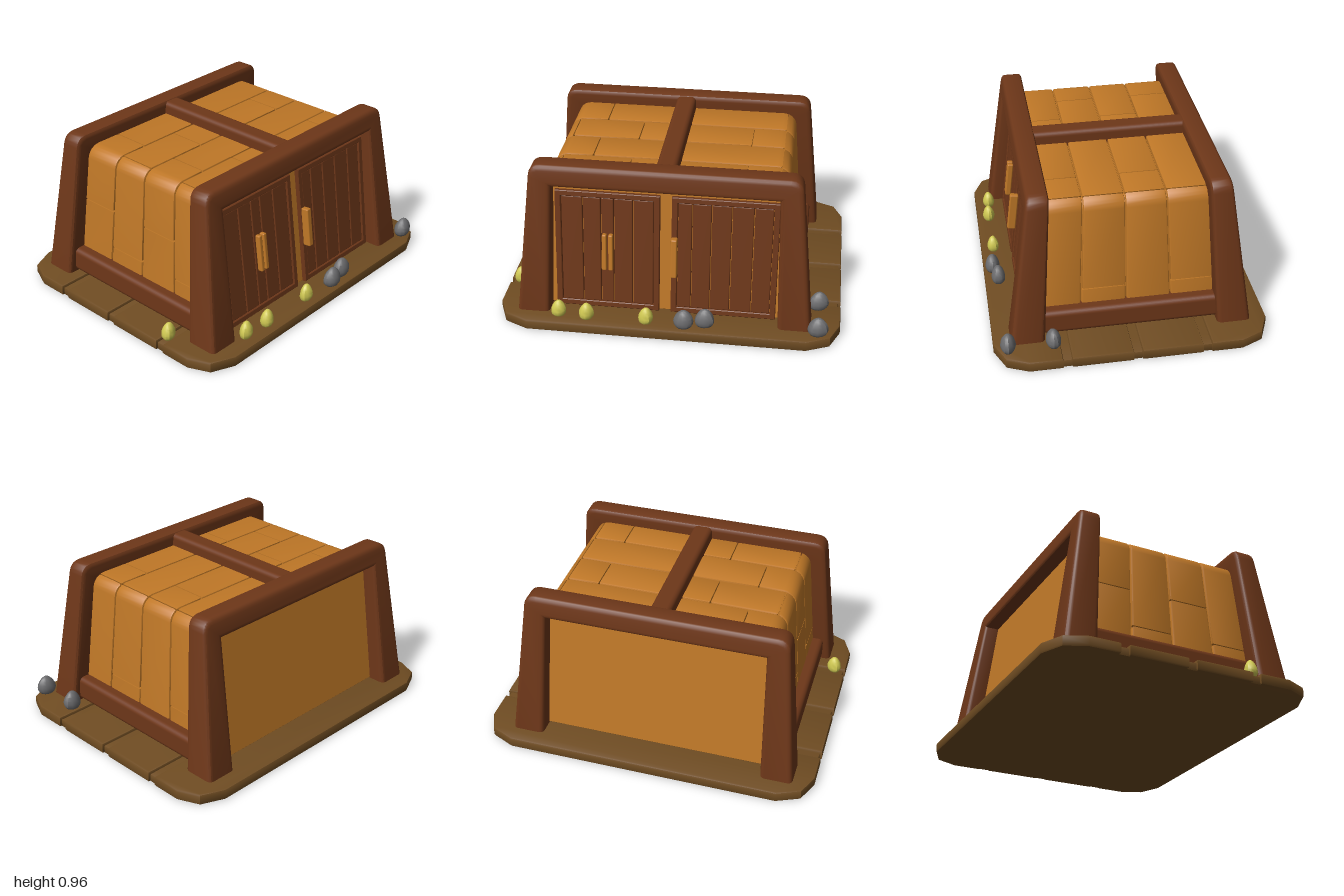
import * as THREE from 'three';
import { toCreasedNormals } from 'three/addons/utils/BufferGeometryUtils.js';
import { RoundedBoxGeometry } from 'three/addons/geometries/RoundedBoxGeometry.js';

const paint = (color) => new THREE.MeshStandardMaterial({ color });
const DARK = paint(0x6e3719), WOOD = paint(0xc07827), GROUND = paint(0x6f4c22);
const YELLOW = paint(0xcfc852), GREY = paint(0x6c6c6e);

const CX = -0.025; // the building stands slightly off the centre of its base

function add(parent, name, geo, mat, x = 0, y = 0, z = 0) {
  const mesh = new THREE.Mesh(geo, mat);
  mesh.name = name;
  mesh.position.set(x, y, z);
  parent.add(mesh);
  return mesh;
}

const polygon = (pts) => new THREE.Shape(pts.map(([x, y]) => new THREE.Vector2(x, y)));

// Extrusion whose outline and depth include the bevel, centred on z = 0
function extrude(shape, depth, bevel, segments = 2) {
  const geo = new THREE.ExtrudeGeometry(shape, {
    depth: depth - 2 * bevel, bevelSize: bevel, bevelThickness: bevel,
    bevelOffset: -bevel, bevelSegments: segments, curveSegments: 5,
  });
  return geo.translate(0, 0, bevel - depth / 2);
}

// Moves each vertex by a rule, then smooths all but the sharp edges
function warp(geo, rule) {
  const p = geo.attributes.position, v = new THREE.Vector3();
  for (let i = 0; i < p.count; i++) {
    rule(v.fromBufferAttribute(p, i));
    p.setXYZ(i, v.x, v.y, v.z);
  }
  return toCreasedNormals(geo, 0.6);
}

// Ground slab: chamfered outline cut into planks by grooves across it
const RIM = [[-0.795, 0.81], [-0.735, 0.945], [-0.61, 1], [0.61, 1], [0.735, 0.945], [0.795, 0.81]];
function halfWidth(z) {
  const i = Math.max(1, RIM.findIndex((r) => r[0] >= z - 1e-6));
  const [z0, w0] = RIM[i - 1], [z1, w1] = RIM[i];
  return w0 + (w1 - w0) * (z - z0) / (z1 - z0);
}
function slab(z0, z1, height, bevel, scale = 1) {
  const zs = [z0, ...RIM.map((r) => r[0]).filter((z) => z > z0 && z < z1), z1];
  const right = zs.map((z) => [halfWidth(z) * scale, -z * scale]);
  const left = right.map(([x, y]) => [-x, y]).reverse();
  const geo = extrude(polygon([...right, ...left]), height, bevel).rotateX(-Math.PI / 2);
  return toCreasedNormals(geo.translate(0, height / 2, 0), 0.6);
}
function buildBase() {
  const base = new THREE.Group();
  base.name = 'base';
  add(base, 'baseCore', slab(-0.795, 0.795, 0.047, 0.004, 0.985), GROUND);
  const cuts = [-0.795, -0.43, -0.38, -0.03, 0.02, 0.37, 0.42, 0.795];
  for (let i = 0; i < cuts.length; i += 2)
    add(base, 'basePlank', slab(cuts[i], cuts[i + 1], 0.065, 0.012), GROUND);
  return base;
}

// Leaning portal frame, thick at the foot and slimmer at the top
function frameGeometry() {
  const s = new THREE.Shape();
  s.moveTo(-0.86, 0.03);
  s.lineTo(-0.772, 0.9);
  s.quadraticCurveTo(-0.765, 0.965, -0.7, 0.965);
  s.lineTo(0.7, 0.965);
  s.quadraticCurveTo(0.765, 0.965, 0.772, 0.9);
  s.lineTo(0.86, 0.03);
  s.lineTo(0.667, 0.03);
  s.lineTo(0.645, 0.84);
  s.lineTo(-0.645, 0.84);
  s.lineTo(-0.667, 0.03);
  return warp(extrude(s, 0.19, 0.028, 3), (v) => {
    const t = (v.y - 0.07) / 0.895, k = v.z / 0.19 + 0.5;
    v.z = THREE.MathUtils.lerp(0.5 - 0.06 * t, 0.695 - 0.13 * t, k);
  });
}

// Plank door with a raised border; x0..x1 across, y from 0 to h
function buildDoor(x0, x1, h, seams) {
  const door = new THREE.Group();
  door.name = 'door';
  const m = 0.034;
  const border = polygon([[x0, 0], [x1, 0], [x1, h], [x0, h]]);
  border.holes.push(polygon([[x0 + m, m], [x0 + m, h - m], [x1 - m, h - m], [x1 - m, m]]));
  add(door, 'doorBorder', toCreasedNormals(extrude(border, 0.03, 0.004, 1), 0.6), DARK);
  const xs = [x0 + m, ...seams, x1 - m];
  for (let i = 0; i + 1 < xs.length; i++) {
    const w = xs[i + 1] - xs[i] - 0.004;
    add(door, 'doorPlank', new RoundedBoxGeometry(w, h - 2 * m, 0.024, 2, 0.006), DARK,
      (xs[i] + xs[i + 1]) / 2, h / 2, -0.004);
  }
  return door;
}

// One end of the building: frame plus leaning wall, with doors on the front
function buildEnd(name, withDoors) {
  const end = new THREE.Group();
  end.name = name;
  add(end, 'portalFrame', frameGeometry(), DARK);
  const wall = new THREE.Group();
  wall.name = 'endWall';
  wall.position.set(0, 0.068, 0.575);
  wall.rotation.x = -0.125;
  end.add(wall);
  const panel = polygon([[-0.7, 0], [0.7, 0], [0.67, 0.82], [-0.67, 0.82]]);
  add(wall, 'wallPanel', extrude(panel, 0.03, 0.003, 1), WOOD);
  if (withDoors) {
    const left = buildDoor(-0.635, -0.03, 0.727, [-0.475, -0.37, -0.295, -0.185]);
    const right = buildDoor(0.038, 0.648, 0.727, [0.155, 0.265, 0.38, 0.505]);
    for (const door of [left, right]) {
      door.position.z = 0.026;
      wall.add(door);
    }
    for (const x of [-0.347, -0.31])
      add(wall, 'doorHandle', new RoundedBoxGeometry(0.027, 0.225, 0.035, 2, 0.008), WOOD, x, 0.365, 0.052);
    add(wall, 'doorHandle', new RoundedBoxGeometry(0.036, 0.24, 0.05, 2, 0.008), WOOD, 0.058, 0.365, 0.065);
  }
  return end;
}

// Arched shell section; s is the distance along it from the roof centre
const FLAT = 0.61, R = 0.08, TURN = 1.49, BEND = R * TURN, END = 1.39;
function archPoint(s, inset) {
  const a = Math.abs(s), t = THREE.MathUtils.clamp((a - FLAT) / R, 0, TURN);
  const run = Math.max(0, a - FLAT - BEND), r = R - inset;
  const x = Math.min(a, FLAT) + r * Math.sin(t) + run * Math.cos(t);
  return [Math.sign(s) * x, 0.885 - R + r * Math.cos(t) - run * Math.sin(t)];
}
function archBlock(s0, s1, z0, z1, inset, thick, bevel) {
  const bends = [];
  for (let i = 0; i <= 6; i++) bends.push(FLAT + BEND * i / 6, -FLAT - BEND * i / 6);
  const inner = bends.filter((s) => s > s0 + 0.015 && s < s1 - 0.015).sort((a, b) => a - b);
  const ss = [s0, ...inner, s1];
  const outline = [...ss.map((s) => archPoint(s, inset)),
    ...ss.map((s) => archPoint(s, inset + thick)).reverse()];
  const geo = extrude(polygon(outline), z1 - z0, bevel).translate(0, 0, (z0 + z1) / 2);
  return warp(geo, (v) => { v.z *= 1 + 0.15 * (1 - v.y / 0.885); });
}

// Four rows of blocks running over the roof and down both sides
function buildShell() {
  const shell = new THREE.Group();
  shell.name = 'shell';
  add(shell, 'shellLining', archBlock(-END, END, -0.45, 0.45, 0.022, 0.02, 0.002), WOOD);
  const longRow = [-END, -1.0, -0.46, -0.03, 0.64, 1.23, END];
  const shortRow = [-END, -1.23, -0.63, -0.23, 0.445, 0.64, END];
  const edges = [-0.455, -0.217, 0.015, 0.25, 0.455];
  for (let row = 0; row < 4; row++) {
    const seams = row % 2 ? shortRow : longRow;
    for (let i = 0; i + 1 < seams.length; i++)
      add(shell, 'shellBlock', archBlock(seams[i] + 0.003, seams[i + 1] - 0.003,
        edges[row] + 0.003, edges[row + 1] - 0.003, 0, 0.04, 0.01), WOOD);
  }
  return shell;
}

// Pebble: a sphere narrowed towards the top and slightly lumpy
function pebbleGeometry(w, h, d, seed) {
  return warp(new THREE.SphereGeometry(0.5, 12, 9).toNonIndexed(), (v) => {
    const lump = 1 + 0.07 * Math.sin(5 * v.x + seed) * Math.cos(6 * v.z + 2 * seed);
    const taper = (1 - 0.5 * v.y) * lump;
    v.set(v.x * w * taper, v.y * h + 0.06 * h * v.x, v.z * d * taper);
  });
}

export function createModel() {
  const model = new THREE.Group();
  model.name = 'shed';
  model.add(buildBase());

  const building = new THREE.Group();
  building.name = 'building';
  building.position.x = CX;
  model.add(building);
  const back = buildEnd('backEnd', false);
  back.rotation.y = Math.PI;
  building.add(buildEnd('frontEnd', true), back, buildShell());

  // Side sills and the ridge beam joining the two frames
  for (const side of [-1, 1])
    add(building, 'sideSill', new RoundedBoxGeometry(0.14, 0.15, 1.08, 3, 0.03), DARK, side * 0.735, 0.147, 0);
  add(building, 'ridgeBeam', new RoundedBoxGeometry(0.12, 0.13, 0.98, 3, 0.028), DARK, -0.003, 0.893, 0);

  // Pebbles scattered on the ground
  const yellow = [[-0.93, 0.4], [-0.63, 0.71], [-0.465, 0.72], [-0.115, 0.72]];
  const grey = [[0.105, 0.74], [0.225, 0.715], [0.87, 0.715], [0.87, 0.46]];
  yellow.forEach(([x, z], i) =>
    add(model, 'yellowPebble', pebbleGeometry(0.085, 0.115, 0.07, i), YELLOW, x, 0.108, z));
  grey.forEach(([x, z], i) =>
    add(model, 'greyPebble', pebbleGeometry(0.115, 0.125, 0.085, i + 4), GREY, x, 0.12, z));
  return model;
}
